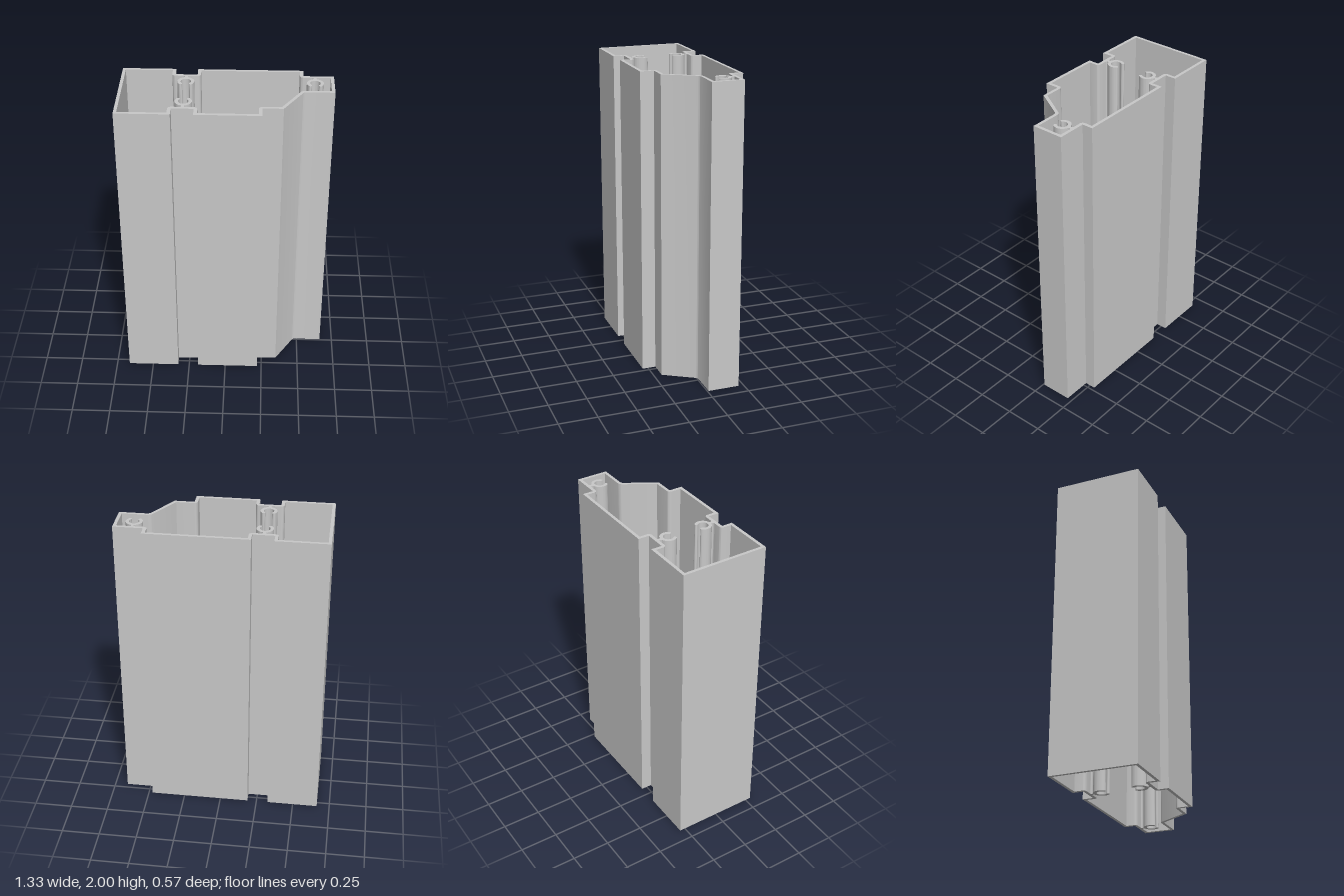
import * as THREE from 'three';
import { toCreasedNormals } from 'three/addons/utils/BufferGeometryUtils.js';

const HEIGHT = 2;
const deg = THREE.MathUtils.degToRad;

// Closed outline from [x, z, cornerRadius] points, traced onto a Shape or Path (shape y = -z)
function trace(path, points) {
  const pts = points.map(([x, z]) => new THREE.Vector2(x, -z));
  const n = pts.length;
  pts.forEach((p, i) => {
    const r = points[i][2] || 0;
    const toPrev = pts[(i + n - 1) % n].clone().sub(p).normalize();
    const toNext = pts[(i + 1) % n].clone().sub(p).normalize();
    const a = p.clone().addScaledVector(toPrev, r);
    const b = p.clone().addScaledVector(toNext, r);
    if (i === 0) path.moveTo(a.x, a.y);
    else path.lineTo(a.x, a.y);
    if (r) {
      // Bezier close to a circular fillet
      const c = a.clone().lerp(p, 0.55), d = b.clone().lerp(p, 0.55);
      path.bezierCurveTo(c.x, c.y, d.x, d.y, b.x, b.y);
    }
  });
  path.closePath();
  return path;
}

function extrude(shape) {
  return new THREE.ExtrudeGeometry(shape, { depth: HEIGHT, bevelEnabled: false, curveSegments: 12 });
}

// Hollow wall of the profile
function wallShape() {
  const f = 0.022;
  const shape = trace(new THREE.Shape(), [
    [-0.665, -0.287], [-0.326, -0.287], [-0.326, -0.216], [-0.188, -0.216], [-0.188, -0.287],
    [0.475, -0.287], [0.475, -0.216], [0.665, -0.216], [0.665, -0.008],
    [0.474, -0.008, 0.015], [0.349, 0.198], [0.222, 0.198], [0.222, 0.287],
    [-0.188, 0.287], [-0.188, 0.216], [-0.326, 0.216], [-0.326, 0.287], [-0.665, 0.287],
  ]);
  // The hole runs the opposite way round, so its walls face inwards
  shape.holes.push(trace(new THREE.Path(), [
    [-0.645, -0.267], [-0.645, 0.266], [-0.347, 0.266], [-0.347, 0.195, f], [-0.167, 0.195, f],
    [-0.167, 0.266], [0.201, 0.266], [0.201, 0.178, f], [0.337, 0.178],
    [0.463, -0.028, 0.02], [0.644, -0.028], [0.644, -0.195], [0.453, -0.195, f], [0.453, -0.267],
    [-0.167, -0.267], [-0.167, -0.195, f], [-0.347, -0.195, f], [-0.347, -0.267],
  ]));
  return shape;
}

// C-shaped screw channel on a flared stem; wall at y = 0, opening towards +y
function channelShape() {
  const cy = 0.07, outer = 0.053, inner = 0.032;
  const mid = (outer + inner) / 2, cap = (outer - inner) / 2;
  const tip = deg(42), root = Math.asin(0.02 / outer);
  const rootY = cy - outer * Math.cos(root);
  const tx = mid * Math.cos(tip), ty = cy + mid * Math.sin(tip);
  const s = new THREE.Shape();
  s.moveTo(-0.02, 0);
  s.quadraticCurveTo(-0.009, 0, -0.009, 0.01);
  s.quadraticCurveTo(-0.009, 0.018, -0.02, rootY);
  s.absarc(0, cy, outer, -Math.PI / 2 - root, -Math.PI - tip, true);
  s.absarc(-tx, ty, cap, -Math.PI - tip, -2 * Math.PI - tip, true);
  s.absarc(0, cy, inner, -Math.PI - tip, tip, false);
  s.absarc(tx, ty, cap, Math.PI + tip, tip, true);
  s.absarc(0, cy, outer, tip, -Math.PI / 2 + root, true);
  s.quadraticCurveTo(0.009, 0.018, 0.009, 0.01);
  s.quadraticCurveTo(0.009, 0, 0.02, 0);
  s.closePath();
  return s;
}

export function createModel() {
  const group = new THREE.Group();
  group.name = 'extrudedProfile';
  const metal = new THREE.MeshStandardMaterial({ color: 0xc8c8c8 });
  metal.name = 'aluminium grey';

  const add = (name, geometry) => {
    geometry.rotateX(-Math.PI / 2);
    const mesh = new THREE.Mesh(toCreasedNormals(geometry, 0.6), metal);
    mesh.name = name;
    group.add(mesh);
  };

  add('profileWall', extrude(wallShape()));

  // Screw channels: back ones open forwards, the front one opens backwards
  for (const [name, x, z] of [
    ['backScrewChannel', -0.257, -0.195],
    ['cornerScrewChannel', 0.546, -0.195],
    ['frontScrewChannel', -0.257, 0.195],
  ]) {
    const geometry = extrude(channelShape());
    if (z < 0) geometry.rotateZ(Math.PI);
    add(name, geometry.translate(x, -z, 0));
  }
  return group;
}
